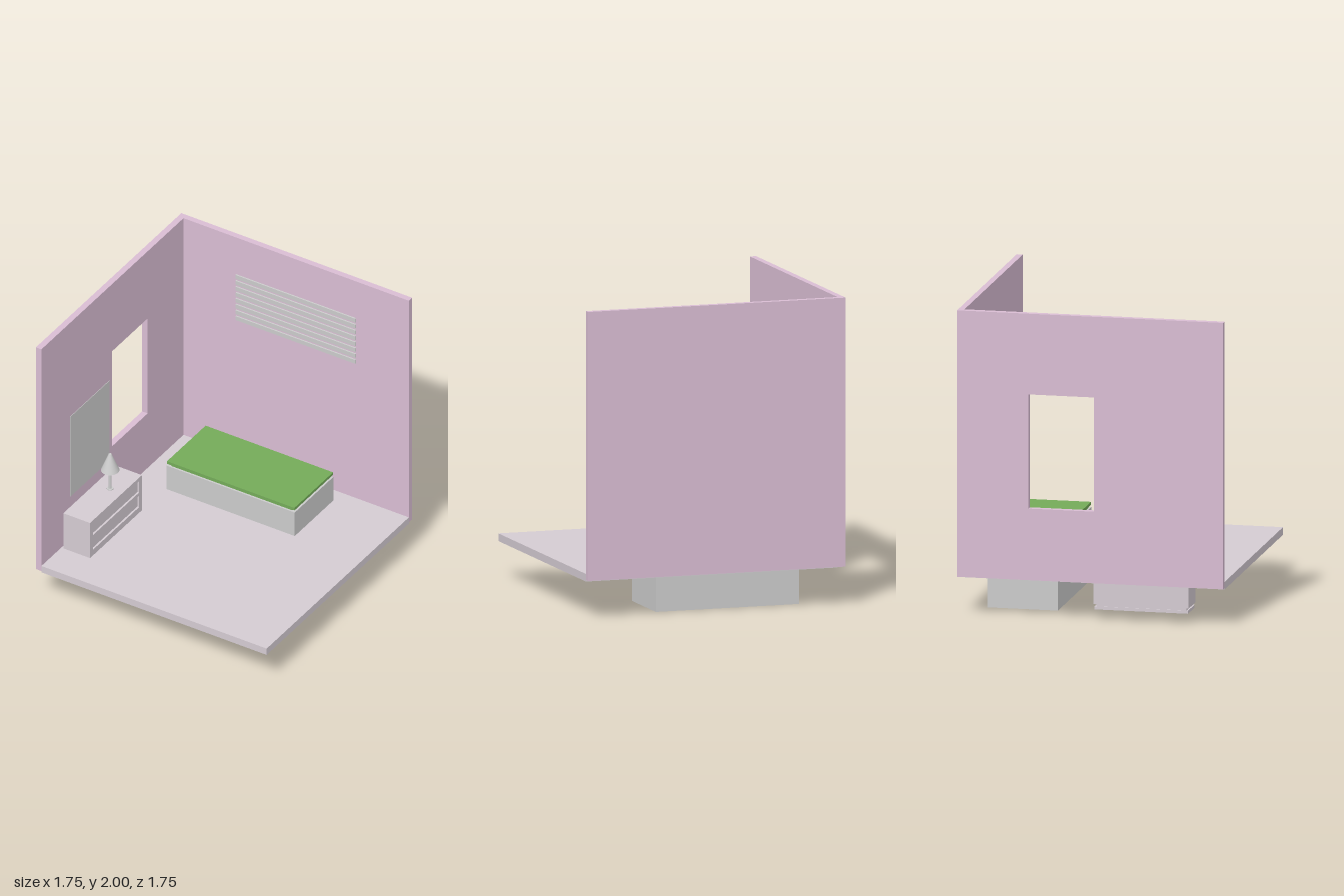
import * as THREE from 'three';

const mat = (color) => new THREE.MeshStandardMaterial({ color, flatShading: true });

export function createModel() {
  const room = new THREE.Group();
  room.name = 'bedroom';
  const grey = mat(0xcccccc);
  const pink = mat(0xd9bdd3);
  const pale = mat(0xd4cbd2);
  const green = mat(0x74ab59);

  const add = (parent, name, geometry, material) => {
    const mesh = new THREE.Mesh(geometry, material);
    mesh.name = name;
    parent.add(mesh);
    return mesh;
  };

  // box given by its limits on each axis
  const box = (parent, name, [x0, x1], [y0, y1], [z0, z1], material) => {
    const mesh = add(parent, name, new THREE.BoxGeometry(x1 - x0, y1 - y0, z1 - z0), material);
    mesh.position.set((x0 + x1) / 2, (y0 + y1) / 2, (z0 + z1) / 2);
    return mesh;
  };

  // upright panel facing +x with rectangular holes; rectangles are [z0, z1, y0, y1]
  const trace = (path, [z0, z1, y0, y1]) =>
    path.moveTo(z0, y0).lineTo(z1, y0).lineTo(z1, y1).lineTo(z0, y1).closePath();
  const panel = (parent, name, outline, holes, xFront, depth, material) => {
    const shape = trace(new THREE.Shape(), outline);
    holes.forEach((h) => shape.holes.push(trace(new THREE.Path(), h)));
    const geometry = new THREE.ExtrudeGeometry(shape, { depth, bevelEnabled: false });
    geometry.rotateY(-Math.PI / 2).translate(xFront, 0, 0);
    return add(parent, name, geometry, material);
  };

  // floor and walls
  box(room, 'floor', [-0.835, 0.875], [0.24, 0.29], [-0.837, 0.875], pale);
  box(room, 'backWall', [-0.836, 0.875], [0.25, 2], [-0.877, -0.837], pink);
  panel(room, 'windowWall', [-0.877, 0.875, 0.25, 2], [[-0.405, 0.025, 0.72, 1.47]], -0.835, 0.042, pink);

  // picture on the side wall
  box(room, 'picture', [-0.835, -0.832], [0.63, 1.26], [0.06, 0.53], grey);

  // slatted blind on the back wall
  const blind = new THREE.Group();
  blind.name = 'blind';
  room.add(blind);
  for (let i = 0; i < 8; i++) {
    const y = 1.355 + i * 0.0465;
    box(blind, 'slat', [-0.435, 0.475], [y, y + 0.03], [-0.837, -0.827], grey);
  }

  // bed
  const bed = new THREE.Group();
  bed.name = 'bed';
  room.add(bed);
  box(bed, 'bedBase', [-0.61, 0.365], [0, 0.475], [-0.737, -0.272], grey);
  box(bed, 'mattressSupport', [-0.58, 0.335], [0.475, 0.49], [-0.725, -0.285], green);
  box(bed, 'blanket', [-0.605, 0.362], [0.49, 0.51], [-0.738, -0.273], green);

  // nightstand with two recessed drawers and a grooved plinth
  const stand = new THREE.Group();
  stand.name = 'nightstand';
  room.add(stand);
  box(stand, 'cabinet', [-0.82, -0.63], [0.1, 0.567], [0.01, 0.635], pale);
  const drawers = [0.335, 0.45].map((y) => [0.045, 0.6, y, y + 0.09]);
  panel(stand, 'drawerFrame', [0.01, 0.635, 0.1, 0.567], drawers, -0.617, 0.013, pale);
  box(stand, 'plinthGroove', [-0.81, -0.63], [0.08, 0.1], [0.025, 0.62], pale);
  box(stand, 'plinth', [-0.815, -0.622], [0.065, 0.085], [0.015, 0.63], pale);

  // table lamp
  const lamp = new THREE.Group();
  lamp.name = 'lamp';
  lamp.position.set(-0.71, 0.567, 0.245);
  room.add(lamp);
  const smooth = new THREE.MeshStandardMaterial({ color: 0xcccccc });
  const turned = (name, rTop, rBottom, y0, y1) => {
    const geometry = new THREE.CylinderGeometry(rTop, rBottom, y1 - y0, 32);
    add(lamp, name, geometry, smooth).position.y = (y0 + y1) / 2;
  };
  turned('lampFoot', 0.022, 0.022, 0, 0.006);
  turned('lampStem', 0.01, 0.01, 0.006, 0.15);
  turned('lampShade', 0.01, 0.06, 0.148, 0.273);

  return room;
}
